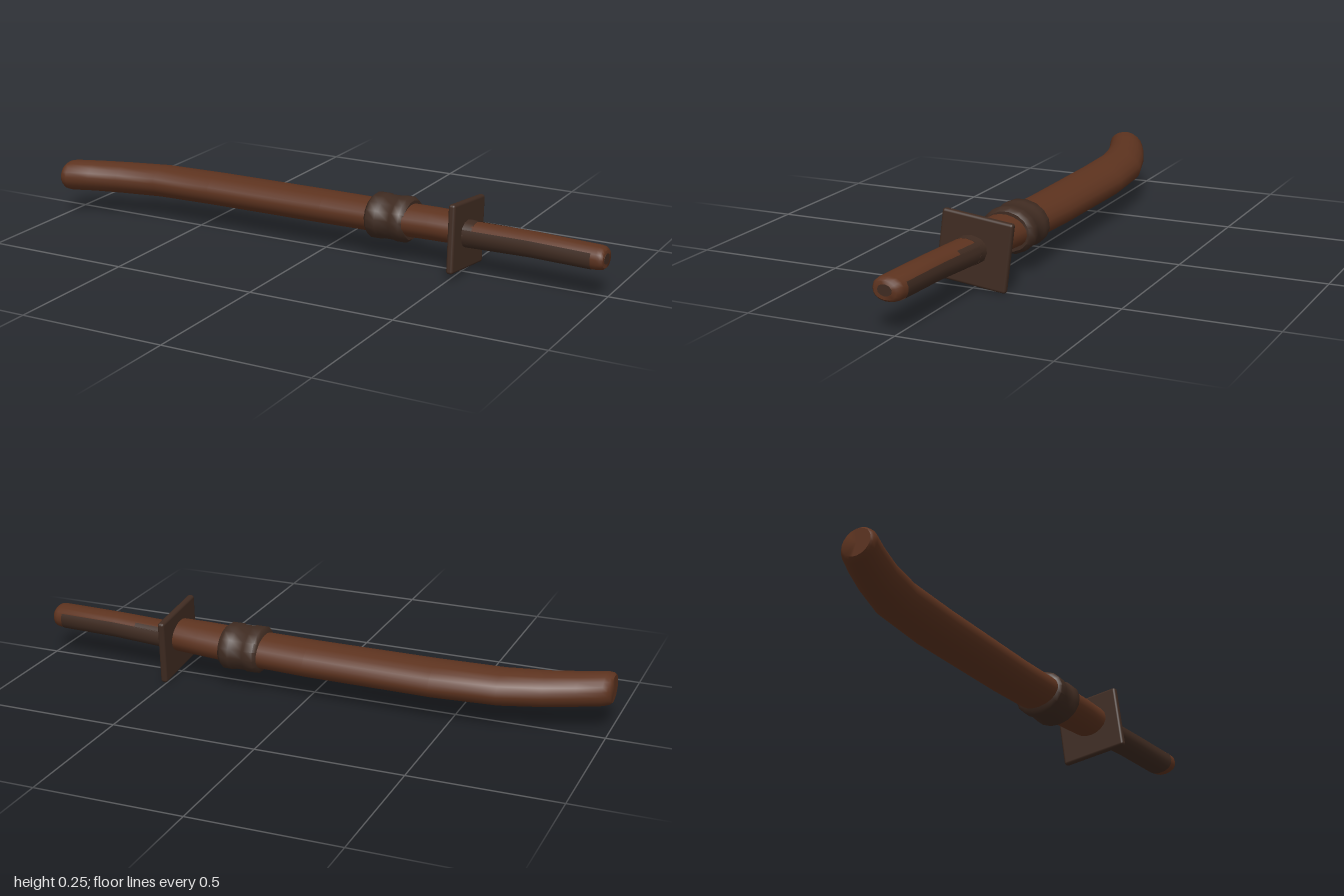
import * as THREE from 'three';
import { toCreasedNormals } from 'three/addons/utils/BufferGeometryUtils.js';
import { RoundedBoxGeometry } from 'three/addons/geometries/RoundedBoxGeometry.js';

const ROLL = -0.115; // the whole sword is rolled slightly about its length

// Skin along x through oval sections [x, y, z, halfHeight, halfDepth]; a partial arc is left open
function loft(sections, sides, power = 1, from = 0, to = Math.PI * 2) {
  const pos = [], index = [], row = sides + 1;
  const closed = to - from > 6.28;
  const bend = (v) => Math.sign(v) * Math.abs(v) ** power;
  const cos = Math.cos(ROLL), sin = Math.sin(ROLL);
  for (const [x, y, z, ry, rz] of sections) {
    for (let j = 0; j <= sides; j++) {
      const t = from + (to - from) * j / sides;
      const dy = ry * bend(Math.sin(t)), dz = rz * bend(Math.cos(t));
      pos.push(x, y + dy * cos - dz * sin, z + dy * sin + dz * cos);
    }
  }
  const last = (sections.length - 1) * row;
  for (let i = 0; i < last; i += row) {
    for (let j = i; j < i + sides; j++) {
      index.push(j, j + row, j + 1, j + 1, j + row, j + row + 1);
    }
  }
  if (closed) {
    const c = pos.length / 3;
    pos.push(...sections[0].slice(0, 3), ...sections.at(-1).slice(0, 3));
    for (let j = 0; j < sides; j++) {
      index.push(c, j, j + 1, c + 1, last + j + 1, last + j);
    }
  }
  const g = new THREE.BufferGeometry();
  g.setAttribute('position', new THREE.Float32BufferAttribute(pos, 3));
  g.setIndex(index);
  return toCreasedNormals(g, 0.85);
}

export function createModel() {
  const group = new THREE.Group();
  group.name = 'sheathedSword';
  const brown = new THREE.MeshStandardMaterial({ name: 'reddishBrown', color: 0x5d331f });
  const dark = new THREE.MeshStandardMaterial({ name: 'darkBrown', color: 0x3f2b21, side: THREE.DoubleSide });

  const add = (name, geometry, material) => {
    const mesh = new THREE.Mesh(geometry, material);
    mesh.name = name;
    group.add(mesh);
    return mesh;
  };

  // Curved scabbard with a bevelled tip
  add('scabbard', loft([
    [-1, 0.138, 0.085, 0.045, 0.052],
    [-0.992, 0.138, 0.083, 0.051, 0.06],
    [-0.975, 0.138, 0.077, 0.054, 0.067],
    [-0.9, 0.137, 0.046, 0.054, 0.07],
    [-0.8, 0.135, 0.012, 0.055, 0.074],
    [-0.66, 0.134, -0.022, 0.056, 0.082],
    [-0.44, 0.133, -0.033, 0.056, 0.088],
    [0, 0.134, -0.031, 0.056, 0.084],
    [0.25, 0.137, -0.023, 0.055, 0.081],
    [0.4, 0.141, -0.016, 0.054, 0.075],
    [0.5, 0.142, -0.011, 0.053, 0.068],
  ], 20), brown);

  // Ribbed collar round the scabbard
  const ribs = [[0.17, 0.88], [0.18, 1], [0.212, 1], [0.22, 0.96], [0.262, 0.96], [0.27, 1], [0.298, 1], [0.312, 0.86]];
  add('collar', loft(ribs.map(([x, s]) => [x, 0.137, -0.026, 0.077 * s, 0.093 * s]), 16), dark);

  // Square guard plate
  const guard = add('guard', new RoundedBoxGeometry(0.024, 0.226, 0.244, 2, 0.009), dark);
  guard.position.set(0.507, 0.1255, -0.0115);
  guard.rotation.set(ROLL, 0, 0.03);

  // Handle core with a rounded end
  add('handle', loft([
    [0.51, 0.131, -0.003, 0.042, 0.051],
    [0.75, 0.136, 0.011, 0.04, 0.049],
    [0.978, 0.134, 0.026, 0.039, 0.049],
    [0.992, 0.134, 0.028, 0.036, 0.046],
    [1, 0.134, 0.029, 0.029, 0.038],
  ], 16, 0.88), brown);

  // Dark wrap covering the underside and flanks of the handle
  add('handleWrap', loft([
    [0.51, 0.131, -0.003, 0.045, 0.054],
    [0.75, 0.136, 0.011, 0.042, 0.051],
    [0.96, 0.134, 0.024, 0.041, 0.051],
  ], 10, 0.88, 2.5, Math.PI * 2 + 0.4), dark);

  // Wrap rising further up the back near the guard
  add('handleBackWrap', loft([
    [0.51, 0.131, -0.003, 0.045, 0.054],
    [0.66, 0.134, 0.006, 0.043, 0.052],
  ], 3, 0.88, 2.15, 2.55), dark);

  // Short ferrule where the handle meets the guard
  add('ferrule', loft([
    [0.51, 0.131, -0.004, 0.046, 0.056],
    [0.55, 0.131, -0.002, 0.044, 0.053],
  ], 12, 0.88), dark);

  // Oval inlay on the handle end
  add('endInlay', loft([
    [0.998, 0.134, 0.03, 0.018, 0.024],
    [1.001, 0.134, 0.03, 0.018, 0.024],
  ], 12), dark);

  return group;
}
